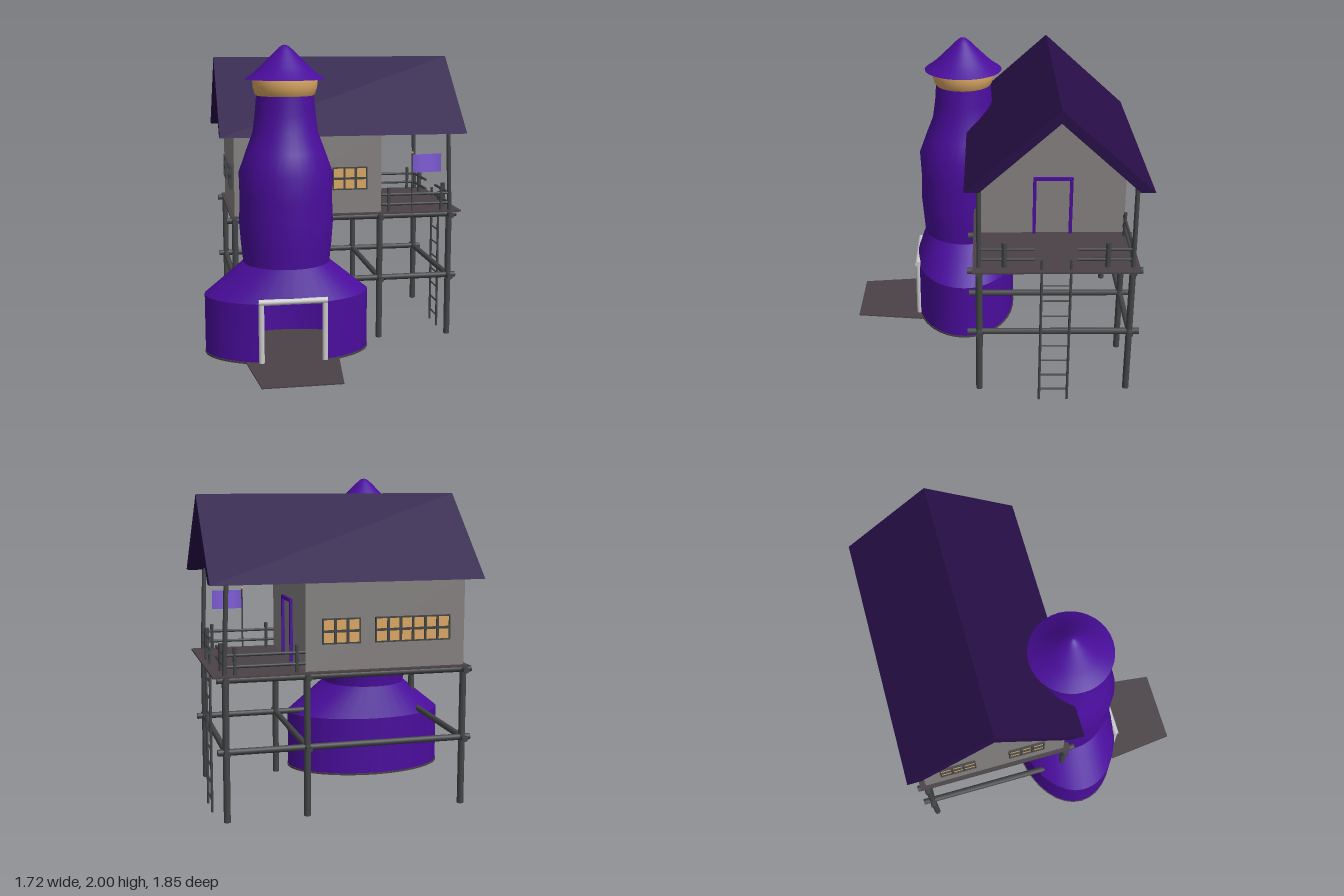
import * as THREE from 'three';

const mat = (color, side = THREE.FrontSide) => new THREE.MeshStandardMaterial({ color, side });
const M = {
  purple: mat(0x4a0d9c, THREE.DoubleSide),
  roof: mat(0x280f48, THREE.DoubleSide),
  wall: mat(0x858181),
  wood: mat(0x434546),
  deck: mat(0x4a4246),
  amber: mat(0xdba864, THREE.DoubleSide),
  flag: mat(0x7f5cd6, THREE.DoubleSide),
  grey: mat(0xcccccc),
};

function add(parent, name, geometry, material, x = 0, y = 0, z = 0) {
  const mesh = new THREE.Mesh(geometry, material);
  mesh.name = name;
  mesh.position.set(x, y, z);
  parent.add(mesh);
  return mesh;
}

const box = (parent, name, w, h, d, material, x, y, z) =>
  add(parent, name, new THREE.BoxGeometry(w, h, d), material, x, y, z);

// Round pole between two points
function pole(parent, name, a, b, r, material = M.wood, sides = 10) {
  const from = new THREE.Vector3(...a), to = new THREE.Vector3(...b);
  const dir = to.clone().sub(from);
  const mesh = add(parent, name, new THREE.CylinderGeometry(r, r, dir.length(), sides), material);
  mesh.position.copy(from).lerp(to, 0.5);
  mesh.quaternion.setFromUnitVectors(new THREE.Vector3(0, 1, 0), dir.normalize());
  return mesh;
}

// Skin over elliptical rings [y, radiusX, radiusZ]; the front can stay open by a half angle
function ringSkin(rings, gap = 0, n = 36) {
  const pos = [], idx = [];
  const cols = gap ? n + 1 : n;
  for (const [y, rx, rz] of rings)
    for (let j = 0; j < cols; j++) {
      const a = gap + (j / n) * (Math.PI * 2 - 2 * gap);
      pos.push(rx * Math.sin(a), y, rz * Math.cos(a));
    }
  for (let i = 0; i < rings.length - 1; i++)
    for (let j = 0; j < n; j++) {
      const k = (j + 1) % cols;
      const a = i * cols + j, b = i * cols + k, c = a + cols, d = b + cols;
      idx.push(a, b, d, a, d, c);
    }
  const g = new THREE.BufferGeometry();
  g.setAttribute('position', new THREE.Float32BufferAttribute(pos, 3));
  g.setIndex(idx);
  g.computeVertexNormals();
  return g;
}

function buildTower() {
  const t = new THREE.Group();
  t.name = 'tower';
  t.position.set(-0.333, 0, 0.175);
  add(t, 'towerBase', ringSkin([[0.07, 0.523, 0.34], [0.44, 0.523, 0.34]], 0.39), M.purple);
  add(t, 'towerShoulder', ringSkin([[0.44, 0.523, 0.34], [0.64, 0.275, 0.275]]), M.purple);
  add(t, 'towerShaft', ringSkin([[0.64, 0.275, 0.275], [0.76, 0.288, 0.285], [0.9, 0.298, 0.297],
    [1.05, 0.292, 0.292], [1.21, 0.296, 0.3], [1.34, 0.25, 0.252], [1.46, 0.205, 0.205],
    [1.58, 0.19, 0.188], [1.69, 0.18, 0.18]]), M.purple);
  const lathe = pts => new THREE.LatheGeometry(pts.map(p => new THREE.Vector2(...p)), 36);
  add(t, 'lanternBand', lathe([[0, 1.68], [0.17, 1.68], [0.188, 1.7], [0.2, 1.74], [0.203, 1.78], [0.195, 1.82]]), M.amber);
  add(t, 'towerCap', lathe([[0.252, 1.79], [0.2, 1.826], [0.155, 1.866], [0.1, 1.92], [0.05, 1.97], [0.02, 1.995], [0, 2]]), M.purple);

  // Ground slab and entrance path
  const slab = add(t, 'towerFloor', new THREE.CylinderGeometry(1, 1, 0.012, 36), M.deck, 0, 0.066, 0);
  slab.scale.set(0.527, 1, 0.345);
  const path = new THREE.Shape([[-0.29, -0.3], [0.29, -0.3], [0.238, -0.745], [-0.242, -0.745]]
    .map(p => new THREE.Vector2(...p)).reverse());
  const ramp = add(t, 'entrancePath', new THREE.ExtrudeGeometry(path, { depth: 0.008, bevelEnabled: false }), M.deck, 0, 0.065, 0);
  ramp.rotation.x = -Math.PI / 2;

  // Doorway frame
  for (const s of [-1, 1]) pole(t, 'doorwayPost', [s * 0.197, 0.07, 0.322], [s * 0.197, 0.455, 0.322], 0.018, M.grey);
  pole(t, 'doorwayLintel', [-0.212, 0.455, 0.325], [0.212, 0.455, 0.325], 0.019, M.grey);
  return t;
}

// Lit window with bars, facing +z
function buildWindow(width, cols, x, z, turn) {
  const w = new THREE.Group();
  w.name = 'window';
  const h = 0.14;
  box(w, 'windowGlass', width, h, 0.008, M.amber, 0, 0, 0);
  for (let i = 0; i <= cols; i++)
    box(w, 'windowBar', i % cols ? 0.014 : 0.008, h, 0.018, M.wood, -width / 2 + (i / cols) * width, 0, 0.004);
  for (const y of [-h / 2, 0, h / 2])
    box(w, 'windowRail', width + 0.008, y ? 0.008 : 0.014, 0.018, M.wood, 0, y, 0.004);
  w.position.set(x, 1.14, z);
  w.rotation.y = turn;
  return w;
}

function buildHouse() {
  const h = new THREE.Group();
  h.name = 'house';
  // Profiles lie in the z-y plane and run along x
  const along = (pts, length) => {
    const s = new THREE.Shape(pts.map(p => new THREE.Vector2(...p)));
    return new THREE.ExtrudeGeometry(s, { depth: length, bevelEnabled: false }).rotateY(Math.PI / 2);
  };
  add(h, 'walls', along([[-0.455, 0.9], [0.455, 0.9], [0.455, 1.44], [0, 1.845], [-0.455, 1.44]], 0.96), M.wall, -0.65, 0, -0.387);
  add(h, 'roof', along([[-0.54, 1.425], [-0.455, 1.425], [0, 1.835], [0.455, 1.425], [0.54, 1.425], [0, 1.91]], 1.6), M.roof, -0.74, 0, -0.387);

  h.add(buildWindow(0.22, 3, 0.1, 0.069, 0));
  h.add(buildWindow(0.22, 3, 0.1, -0.843, Math.PI));
  h.add(buildWindow(0.45, 6, -0.33, -0.843, Math.PI));
  for (const z of [-0.62, -0.18]) h.add(buildWindow(0.22, 3, -0.651, z, -Math.PI / 2));

  // Door frame onto the porch
  for (const z of [-0.275, -0.503]) box(h, 'doorJamb', 0.025, 0.38, 0.02, M.purple, 0.315, 1.1, z);
  box(h, 'doorHead', 0.025, 0.02, 0.248, M.purple, 0.315, 1.28, -0.389);
  return h;
}

function buildPlatform() {
  const p = new THREE.Group();
  p.name = 'platform';
  const xs = [-0.65, 0.3, 0.77], zs = [0.07, -0.84];
  box(p, 'deckFloor', 1.52, 0.01, 0.99, M.deck, 0.085, 0.907, -0.387);
  for (const x of xs) {
    for (const z of zs) pole(p, 'stilt', [x, 0.06, z], [x, 0.9, z], 0.02);
    for (const y of [0.47, 0.885]) pole(p, 'crossBeam', [x, y, 0.14], [x, y, -0.9], 0.019);
  }
  for (const z of zs) {
    for (const y of [0.47, 0.885]) pole(p, 'longBeam', [-0.7, y, z], [0.82, y, z], 0.019);
    pole(p, 'roofPost', [0.775, 0.9, z], [0.757, 1.45, z], 0.014);
    // Side railings
    for (const y of [0.96, 1.025]) pole(p, 'sideRail', [0.31, y, z], [0.77, y, z], 0.009);
    for (const x of [0.36, 0.715]) pole(p, 'railPost', [x, 0.9, z], [x, 1.07, z], 0.011);
  }
  // End railings either side of the ladder
  for (const [a, b, post] of [[0.07, -0.26, -0.08], [-0.51, -0.84, -0.69]]) {
    for (const y of [0.96, 1.025]) pole(p, 'endRail', [0.77, y, a], [0.77, y, b], 0.009);
    pole(p, 'railPost', [0.77, 0.9, post], [0.77, 1.07, post], 0.016);
  }
  return p;
}

function buildLadder() {
  const l = new THREE.Group();
  l.name = 'ladder';
  for (const z of [-0.3, -0.473]) pole(l, 'ladderSide', [0.806, 0, z], [0.806, 0.975, z], 0.008);
  for (let i = 0; i < 9; i++) {
    const y = 0.075 + i * 0.104;
    pole(l, 'ladderRung', [0.806, y, -0.3], [0.806, y, -0.473], 0.006, M.wood, 6);
  }
  return l;
}

function buildFlag() {
  const f = new THREE.Group();
  f.name = 'flag';
  pole(f, 'flagPole', [0.515, 0.9, 0.075], [0.515, 1.3, 0.075], 0.005);
  add(f, 'flagKnob', new THREE.SphereGeometry(0.008, 10, 8), M.amber, 0.515, 1.3, 0.075);
  // Gently waving cloth
  const cloth = new THREE.PlaneGeometry(0.195, 0.12, 12, 1);
  const pos = cloth.attributes.position;
  for (let i = 0; i < pos.count; i++) pos.setZ(i, 0.008 * Math.sin((pos.getX(i) + 0.0975) * 32));
  cloth.computeVertexNormals();
  add(f, 'flagCloth', cloth, M.flag, 0.613, 1.228, 0.075);
  return f;
}

export function createModel() {
  const model = new THREE.Group();
  model.name = 'stiltHouseWithTower';
  model.add(buildTower(), buildHouse(), buildPlatform(), buildLadder(), buildFlag());
  return model;
}
